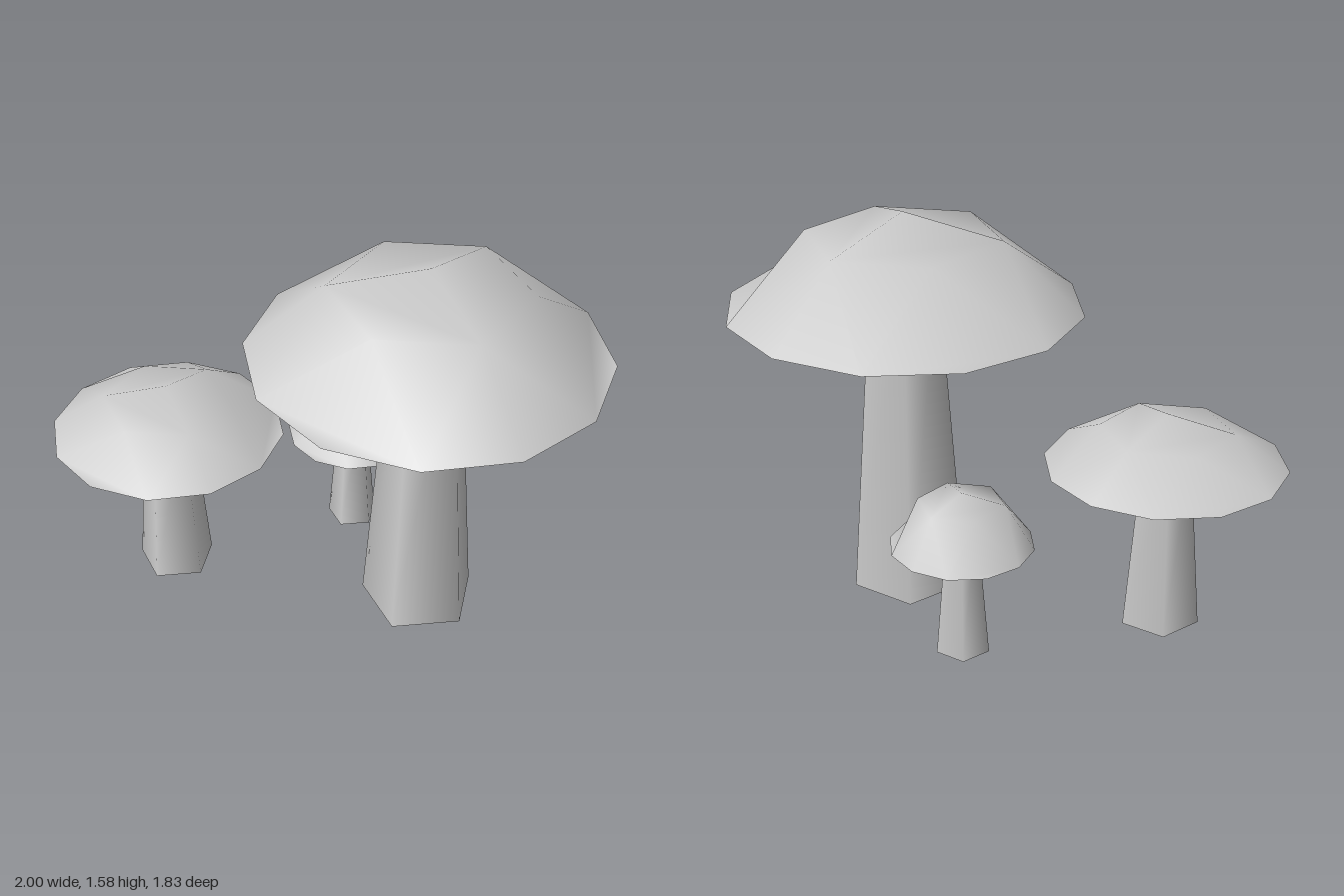
import * as THREE from 'three';

const material = new THREE.MeshStandardMaterial({ color: 0xcccccc, side: THREE.DoubleSide });

// Points of a regular n-gon, flattened to [x, y, z, ...], starting at +z and turning towards +x
function loop(n, rx, rz, y) {
  const out = [];
  for (let i = 0; i < n; i++) {
    const a = (i / n) * Math.PI * 2;
    out.push(Math.sin(a) * rx, y, Math.cos(a) * rz);
  }
  return out;
}

// Open cap: apex, six-point shoulder and twelve-point rim, joined with threefold symmetry
function capGeometry({ rimX, rimZ, rimY, ringR, ringY, apexY }) {
  const positions = [0, apexY, 0, ...loop(6, ringR, ringR, ringY), ...loop(12, rimX, rimZ, rimY)];
  const index = [];
  for (let s = 0; s < 3; s++) {
    const ring = (i) => 1 + ((s * 2 + i) % 6);
    const rim = (i) => 7 + ((s * 4 + i) % 12);
    index.push(
      0, ring(0), ring(2),            // peak facet
      ring(0), ring(1), ring(2),      // level shoulder corner
      ring(0), rim(0), rim(1),        // sloping band
      ring(0), rim(1), ring(1),
      ring(1), rim(1), rim(3),
      ring(1), rim(3), ring(2),
      ring(2), rim(3), rim(4),
      rim(1), rim(2), rim(3),         // level rim corner
    );
  }
  const geometry = new THREE.BufferGeometry();
  geometry.setAttribute('position', new THREE.Float32BufferAttribute(positions, 3));
  geometry.setIndex(index);
  geometry.computeVertexNormals();
  return geometry;
}

// One mushroom: tapered five-sided stem reaching up inside the cap
function mushroom(name, x, z, stem, cap) {
  const group = new THREE.Group();
  group.name = name;
  group.position.set(x, 0, z);

  const stemGeometry = new THREE.CylinderGeometry(stem.top, stem.base, stem.height, 5, 1, false, Math.PI / 2);
  stemGeometry.translate(0, stem.height / 2, 0);
  const stemMesh = new THREE.Mesh(stemGeometry, material);
  stemMesh.name = 'stem';

  const capMesh = new THREE.Mesh(capGeometry(cap), material);
  capMesh.name = 'cap';

  group.add(stemMesh, capMesh);
  return group;
}

export function createModel() {
  const model = new THREE.Group();
  model.name = 'mushroomCluster';
  model.add(
    mushroom('largeMushroom', 0.3, 0.195,
      { base: 0.237, top: 0.135, height: 1.36 },
      { rimX: 0.697, rimZ: 0.72, rimY: 1.2, ringR: 0.389, ringY: 1.48, apexY: 1.575 }),
    mushroom('mediumMushroom', -0.53, -0.448,
      { base: 0.157, top: 0.097, height: 0.73 },
      { rimX: 0.469, rimZ: 0.469, rimY: 0.68, ringR: 0.258, ringY: 0.82, apexY: 0.885 }),
    mushroom('smallMushroom', 0.275, -0.4,
      { base: 0.105, top: 0.057, height: 0.58 },
      { rimX: 0.275, rimZ: 0.28, rimY: 0.455, ringR: 0.167, ringY: 0.63, apexY: 0.667 }),
  );
  return model;
}
